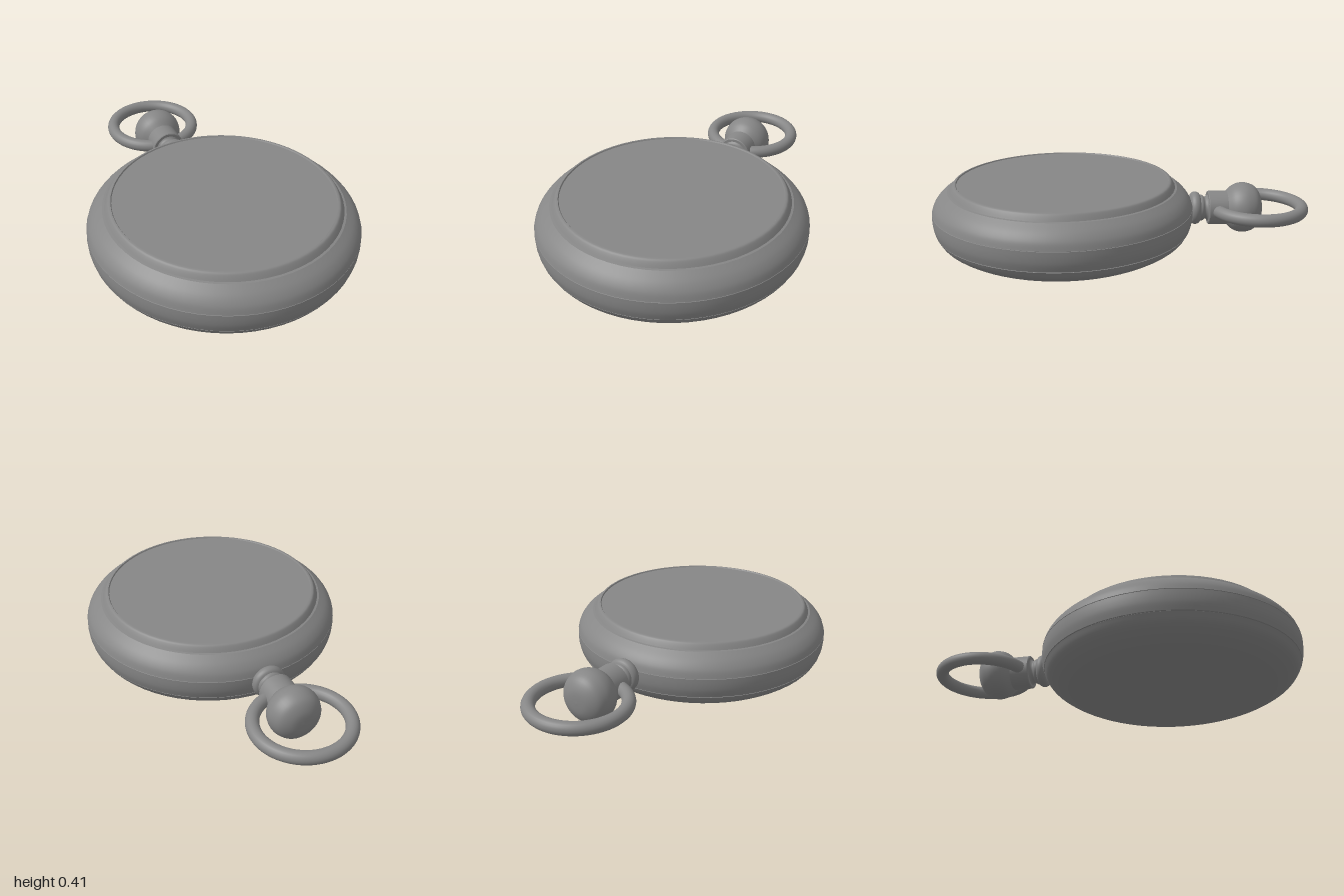
import * as THREE from 'three';

const material = new THREE.MeshStandardMaterial({ color: 0x868686, side: THREE.DoubleSide });
const CASE_Z = 0.315;   // centre of the round case
const STEM_Y = 0.235;   // height of the stem axis and the bow

const toPoints = (pairs) => pairs.map(([r, h]) => new THREE.Vector2(r, h));
const smooth = (pairs, n = 20) => new THREE.SplineCurve(toPoints(pairs)).getPoints(n)
  .map((p) => new THREE.Vector2(Math.max(p.x, 0), Math.max(p.y, 0)));

function addLathe(parent, name, points, segments = 64) {
  const mesh = new THREE.Mesh(new THREE.LatheGeometry(points, segments), material);
  mesh.name = name;
  parent.add(mesh);
}

// One lathe per straight step keeps the edges between steps sharp
function addSteps(parent, name, pairs, segments) {
  const group = new THREE.Group();
  group.name = name;
  for (let i = 0; i < pairs.length - 1; i++) {
    addLathe(group, name + 'Step' + (i + 1), toPoints(pairs.slice(i, i + 2)), segments);
  }
  parent.add(group);
}

export function createModel() {
  const model = new THREE.Group();
  model.name = 'pocketWatch';

  // Case, turned around a vertical axis
  const watchCase = new THREE.Group();
  watchCase.name = 'case';
  watchCase.position.z = CASE_Z;
  model.add(watchCase);
  addLathe(watchCase, 'backCover', smooth([[0, 0], [0.215, 0.008], [0.436, 0.032],
    [0.557, 0.063], [0.64, 0.11], [0.672, 0.155]], 28));
  addSteps(watchCase, 'backSeam', [[0.672, 0.155], [0.668, 0.156], [0.668, 0.158], [0.674, 0.159]]);
  addLathe(watchCase, 'middleBand', smooth([[0.674, 0.159], [0.684, 0.195], [0.687, 0.23], [0.686, 0.262]], 10));
  addSteps(watchCase, 'frontSeam', [[0.686, 0.262], [0.683, 0.263], [0.683, 0.264], [0.686, 0.265]]);
  addLathe(watchCase, 'frontShoulder', smooth([[0.686, 0.265], [0.673, 0.302], [0.645, 0.338], [0.602, 0.372]], 16));
  addSteps(watchCase, 'bezelSeat', [[0.602, 0.372], [0.591, 0.374]]);
  addLathe(watchCase, 'bezel', smooth([[0.591, 0.374], [0.581, 0.391], [0.57, 0.405], [0.558, 0.408]], 10));
  addSteps(watchCase, 'bezelLip', [[0.558, 0.408], [0.553, 0.4]]);
  addLathe(watchCase, 'crystal', toPoints([[0.554, 0.402], [0, 0.404]]));

  // Stem and crown, turned around an axis pointing to the back
  const stem = new THREE.Group();
  stem.name = 'stem';
  stem.position.y = STEM_Y;
  stem.rotation.x = -Math.PI / 2;
  model.add(stem);
  addLathe(stem, 'stemCore', toPoints([[0.055, 0.32], [0.055, 0.45]]), 40);
  addLathe(stem, 'bead', smooth([[0.06, 0.36], [0.08, 0.37], [0.088, 0.39], [0.08, 0.41], [0.06, 0.42]], 16), 40);
  addLathe(stem, 'neck', smooth([[0.07, 0.415], [0.069, 0.428], [0.06, 0.44], [0.064, 0.452], [0.074, 0.46]], 12), 40);
  addSteps(stem, 'collar', [[0.06, 0.458], [0.086, 0.458], [0.09, 0.462], [0.09, 0.562], [0, 0.562]], 40);
  addLathe(stem, 'crown', smooth([[0.085, 0.555], [0.118, 0.59], [0.133, 0.63], [0.132, 0.67],
    [0.11, 0.715], [0.06, 0.743], [0, 0.749]], 28), 40);

  // Bow ring passing through the collar
  const bow = new THREE.Mesh(new THREE.TorusGeometry(0.235, 0.034, 20, 72), material);
  bow.name = 'bow';
  bow.rotation.x = Math.PI / 2;
  bow.position.set(0, STEM_Y, -0.731);
  model.add(bow);

  return model;
}
